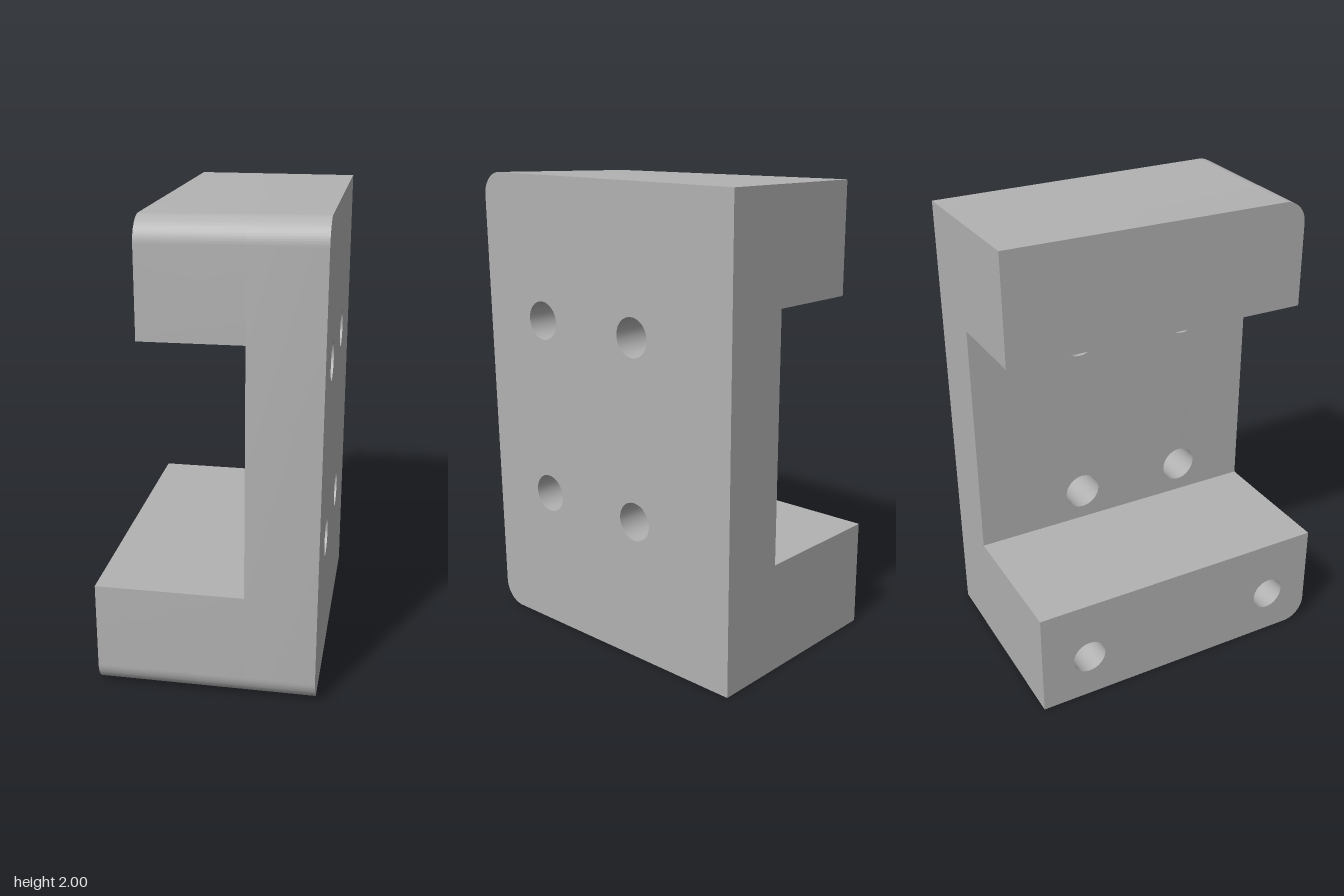
import * as THREE from 'three';
import { toCreasedNormals } from 'three/addons/utils/BufferGeometryUtils.js';

const BACK = -0.69, FRONT = 0.66, TOP = 1.985, R = 0.1;
const PLATE_OUT = 0.45, PLATE_IN = 0.155, UPPER_END = -0.26, LOWER_END = -0.465;

// Side outline in (z, y), with optional rounded front corners
function outline(y0, y1, roundBottom, roundTop) {
  const s = new THREE.Shape();
  s.moveTo(BACK, y0);
  if (roundBottom) {
    s.lineTo(FRONT - R, y0);
    s.absarc(FRONT - R, y0 + R, R, -Math.PI / 2, 0, false);
  } else s.lineTo(FRONT, y0);
  if (roundTop) {
    s.lineTo(FRONT, y1 - R);
    s.absarc(FRONT - R, y1 - R, R, 0, Math.PI / 2, false);
  } else s.lineTo(FRONT, y1);
  s.lineTo(BACK, y1);
  s.closePath();
  return s;
}

function addHole(shape, z, y, r) {
  const hole = new THREE.Path();
  hole.absarc(z, y, r, 0, Math.PI * 2, true);
  shape.holes.push(hole);
}

// The upper front corner of the plate is drawn slightly outward
function skew(geometry) {
  const p = geometry.attributes.position;
  for (let i = 0; i < p.count; i++) {
    const x = p.getX(i), y = p.getY(i), z = p.getZ(i);
    const sx = Math.max(0, (x - UPPER_END) / (PLATE_OUT - UPPER_END));
    const w = sx * (y / TOP) * ((z - BACK) / (FRONT - BACK));
    p.setXYZ(i, x + 0.01 * w, y + 0.015 * w, z + 0.03 * w);
  }
  return geometry;
}

export function createModel() {
  const group = new THREE.Group();
  group.name = 'mountingBracket';
  const grey = new THREE.MeshStandardMaterial({ color: 0xb2b2b2 });
  grey.name = 'plain grey';

  // Extrude a side outline across x, from xMax down to xMin
  function addPart(name, shape, xMin, xMax) {
    const g = new THREE.ExtrudeGeometry(shape, { depth: xMax - xMin, bevelEnabled: false, curveSegments: 16 });
    g.rotateY(-Math.PI / 2).translate(xMax, 0, 0);
    const mesh = new THREE.Mesh(toCreasedNormals(skew(g), 0.6), grey);
    mesh.name = name;
    group.add(mesh);
  }

  // Back plate with four through holes
  const plate = outline(0, TOP, true, true);
  for (const z of [-0.19, 0.325])
    for (const y of [0.61, 1.38]) addHole(plate, z, y, 0.082);
  addPart('plate', plate, PLATE_IN, PLATE_OUT);

  // Short upper arm
  addPart('upperArm', outline(1.52, TOP, false, true), UPPER_END, PLATE_IN);

  // Long lower arm: solid root and a tip with two blind holes
  const holeEnd = -0.05;
  addPart('lowerArmRoot', outline(0, 0.47, true, false), holeEnd, PLATE_IN);
  const tip = outline(0, 0.47, true, false);
  for (const z of [-0.47, 0.45]) addHole(tip, z, 0.2, 0.075);
  addPart('lowerArmTip', tip, LOWER_END, holeEnd);

  return group;
}
